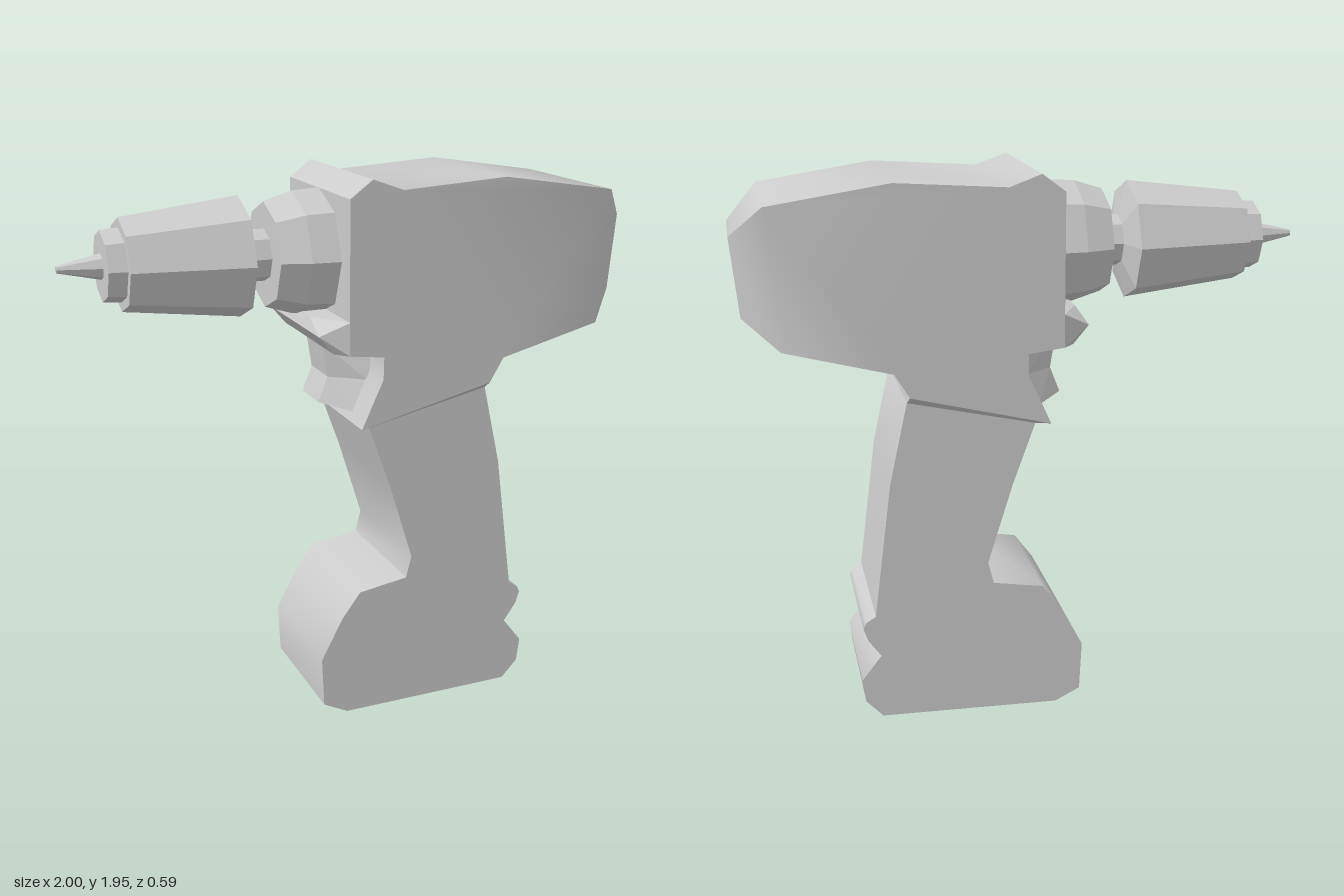
import * as THREE from 'three';
import { mergeGeometries, toCreasedNormals } from 'three/addons/utils/BufferGeometryUtils.js';
import { ConvexGeometry } from 'three/addons/geometries/ConvexGeometry.js';

const material = new THREE.MeshStandardMaterial({ color: 0xcccccc });

function addMesh(parent, name, geometry) {
  const mesh = new THREE.Mesh(geometry, material);
  mesh.name = name;
  parent.add(mesh);
}

// Side profile extruded symmetrically about z = 0
function slab(points, halfWidth) {
  const shape = new THREE.Shape(points.map(([x, y]) => new THREE.Vector2(x, y)));
  const geometry = new THREE.ExtrudeGeometry(shape, { depth: halfWidth * 2, bevelEnabled: false });
  geometry.translate(0, 0, -halfWidth);
  geometry.deleteAttribute('uv');
  return geometry;
}

// Faceted block around side outlines, each given as [half width, points]
function taper(...sections) {
  const corners = [];
  for (const [half, outline] of sections)
    for (const [x, y] of outline)
      for (const side of [-1, 1]) corners.push(new THREE.Vector3(x, y, side * half));
  return new ConvexGeometry(corners);
}

// Joins two solids and drops the inner faces on the line from a to b
function joinAlong([ax, ay], [bx, by], first, second) {
  const joined = mergeGeometries([first, second]);
  const p = joined.getAttribute('position');
  const onJoint = (i) =>
    Math.abs(p.getX(i) - ax - ((p.getY(i) - ay) * (bx - ax)) / (by - ay)) < 1e-3;
  const kept = [];
  for (let i = 0; i < p.count; i += 3)
    if (!(onJoint(i) && onJoint(i + 1) && onJoint(i + 2))) kept.push(i, i + 1, i + 2);
  joined.setIndex(kept);
  return joined.toNonIndexed();
}

// Eight-sided turned part along x; profile entries are [x, radius], running to the tip
function turned(profile) {
  const points = profile.map(([x, r]) => new THREE.Vector2(r, -x));
  const geometry = new THREE.LatheGeometry(points, 8).toNonIndexed();
  geometry.rotateZ(Math.PI / 2);
  geometry.translate(0, 1.672, 0);
  geometry.computeVertexNormals();
  return geometry;
}

export function createModel() {
  const drill = new THREE.Group();
  drill.name = 'cordlessDrill';
  const bodyHalf = 0.293;
  const gripHalf = 0.245;

  // Motor housing with the finger recess at its lower front and a tapered rear
  const rearTop = [0.89, 1.872];
  const rearBottom = [0.855, 1.4];
  const housing = slab([
    [-0.09, 1.89], [-0.09, 1.365], [0.035, 1.35], [0.033, 1.27], [0.0, 1.2], [-0.045, 1.1],
    [0.44, 1.22], [0.49, 1.305], rearBottom, rearTop,
    [0.48, 1.935], [0.1, 1.91], [-0.01, 1.95],
  ], bodyHalf);
  const rearCap = taper(
    [bodyHalf, [rearTop, rearBottom]],
    [0.165, [[1.0, 1.76], [0.975, 1.49]]]);
  addMesh(drill, 'motorHousing',
    toCreasedNormals(joinAlong(rearTop, rearBottom, housing, rearCap), 0.9));

  // Lip under the chuck, and the ledge where the housing meets the grip
  addMesh(drill, 'frontLip', taper(
    [bodyHalf, [[-0.09, 1.48], [-0.09, 1.365]]],
    [0.25, [[-0.185, 1.43], [-0.13, 1.365]]],
    [0.12, [[-0.168, 1.47]]]));
  addMesh(drill, 'handleCollar', taper(
    [bodyHalf, [[-0.045, 1.1], [0.44, 1.22]]],
    [gripHalf, [[0.0, 1.09], [0.445, 1.19]]]));

  // Trigger in two stacked faceted halves
  const trigger = new THREE.Group();
  trigger.name = 'trigger';
  addMesh(trigger, 'triggerTop', taper(
    [0.17, [[0.045, 1.355], [0.025, 1.24]]],
    [0.08, [[-0.11, 1.362], [-0.09, 1.24]]]));
  addMesh(trigger, 'triggerBottom', taper(
    [0.17, [[0.025, 1.24], [-0.03, 1.13]]],
    [0.08, [[-0.09, 1.24], [-0.125, 1.15]]]));
  drill.add(trigger);

  // Grip and battery foot share one side profile
  addMesh(drill, 'handleAndBattery', toCreasedNormals(slab([
    [0.06, 1.16], [0.0, 1.09], [0.08, 0.87], [0.17, 0.58], [0.15, 0.5], [-0.03, 0.47],
    [-0.1, 0.375], [-0.178, 0.225], [-0.17, 0.045], [-0.08, 0.0], [0.56, 0.015],
    [0.62, 0.08], [0.63, 0.165], [0.56, 0.255], [0.605, 0.32], [0.62, 0.365], [0.61, 0.388],
    [0.575, 0.41], [0.51, 0.9], [0.445, 1.19], [0.4, 1.24],
  ], gripHalf), 0.8));

  // Chuck assembly along the drill axis
  const chuck = new THREE.Group();
  chuck.name = 'chuck';
  addMesh(chuck, 'gearCollar', turned([
    [-0.08, 0], [-0.08, 0.22], [-0.19, 0.213], [-0.29, 0.182], [-0.29, 0]]));
  addMesh(chuck, 'neck', turned([[-0.28, 0.09], [-0.36, 0.09]]));
  addMesh(chuck, 'chuckSleeve', turned([
    [-0.35, 0], [-0.35, 0.09], [-0.38, 0.208], [-0.79, 0.158], [-0.79, 0.125],
    [-0.853, 0.12], [-0.853, 0]]));
  addMesh(chuck, 'drillBit', turned([[-0.85, 0.045], [-1.0, 0.012], [-1.0, 0]]));
  drill.add(chuck);

  return drill;
}
